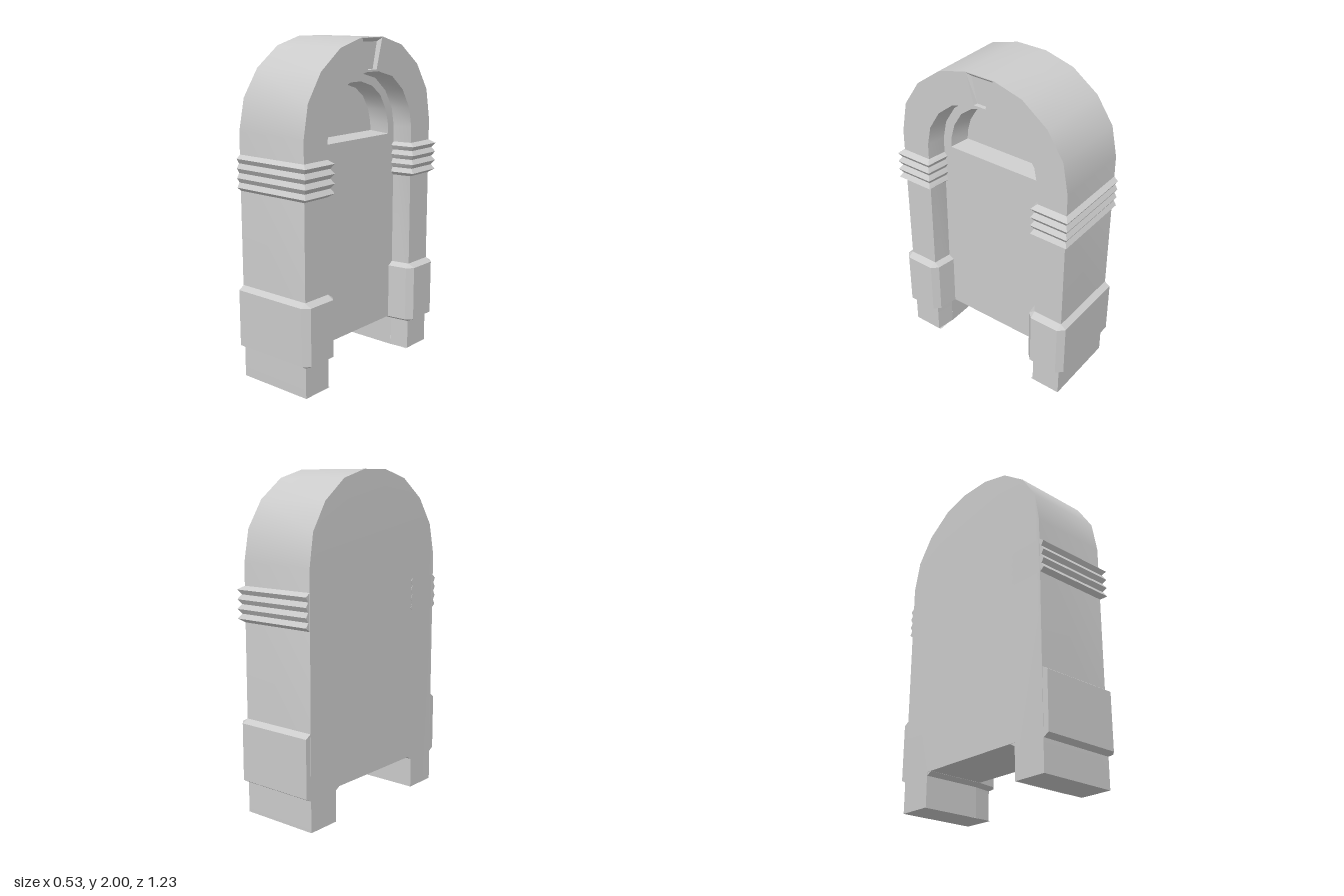
import * as THREE from 'three';
import { toCreasedNormals } from 'three/addons/utils/BufferGeometryUtils.js';

const BACK = -0.27, FLOOR = -0.01, PANEL = 0.105, FRONT = 0.224, SKIRT = 0.207;
const material = new THREE.MeshStandardMaterial({ color: 0xcccccc, side: THREE.DoubleSide });

// Right half of a path mirrored into a full path, right to left
const mirrored = (half) => [...half, ...half.map(([x, y]) => [-x, y]).reverse()];
const at = (path, z) => path.map(([x, y]) => [x, y, typeof z === 'function' ? z(y) : z]);
const backZ = (y) => BACK + Math.max(0, y - 1.48) * 0.03;

// Skin between loops of equal length
function loft(loops, closed, crease) {
  const pos = [];
  const n = loops[0].length;
  for (let i = 0; i < loops.length - 1; i++) {
    for (let j = 0; j < (closed ? n : n - 1); j++) {
      const k = (j + 1) % n;
      const a = loops[i][j], b = loops[i][k], c = loops[i + 1][k], d = loops[i + 1][j];
      pos.push(...a, ...b, ...c, ...a, ...c, ...d);
    }
  }
  const g = new THREE.BufferGeometry();
  g.setAttribute('position', new THREE.Float32BufferAttribute(pos, 3));
  g.computeVertexNormals();
  return crease ? toCreasedNormals(g, crease) : g;
}

// Flat face with optional holes, looking to +z
function face(path, z, holes = []) {
  const toV = (p) => p.map(([x, y]) => new THREE.Vector2(x, y));
  const shape = new THREE.Shape(toV(path));
  holes.forEach((h) => shape.holes.push(new THREE.Path(toV(h))));
  return new THREE.ShapeGeometry(shape).translate(0, 0, z);
}

export function createModel() {
  const model = new THREE.Group();
  const cabinet = new THREE.Group();
  cabinet.name = 'cabinet';
  cabinet.rotation.y = Math.PI / 2; // the cabinet looks along +x
  model.add(cabinet);

  const add = (name, geometry) => {
    const mesh = new THREE.Mesh(geometry, material);
    mesh.name = name;
    cabinet.add(mesh);
    return mesh;
  };

  // Arch outlines
  const outer = mirrored([[0.581, 0], [0.581, 1.48], [0.545, 1.67], [0.44, 1.83], [0.278, 1.95], [0.097, 2]]);
  const inner = mirrored([[0.39, 0], [0.39, 1.45], [0.365, 1.57], [0.295, 1.685], [0.19, 1.77], [0.055, 1.806]]);
  const innerDeep = inner.map(([x, y]) => [x * 0.95, y > 1 ? 1.42 + (y - 1.42) * 0.955 : y]);
  const notch = [[0.37, 0], [0.37, SKIRT], [-0.37, SKIRT], [-0.37, 0]];

  // Cabinet shell
  add('outerShell', loft([at(outer, backZ), at(outer, FRONT)], false, 0.6));
  const back = face([...outer, ...[...notch].reverse()], 0).rotateY(Math.PI);
  const bp = back.attributes.position;
  for (let i = 0; i < bp.count; i++) bp.setZ(i, backZ(bp.getY(i)));
  back.computeVertexNormals();
  add('backPanel', back);
  add('undersideNotch', loft([at(notch, PANEL), at(notch, BACK)], false, 0.6));

  // Front arch frame with a shallow sunken keystone
  const keyRim = [[0.04, 1.818], [0.09, 1.996], [-0.09, 1.996], [-0.04, 1.818]];
  const keyFloor = [[0.033, 1.82], [0.07, 1.975], [-0.07, 1.975], [-0.033, 1.82]];
  const keyZ = FRONT - 0.024;
  add('archFrame', face([...outer, ...[...inner].reverse()], FRONT, [keyRim]));
  add('archReveal', loft([at(inner, FRONT), at(innerDeep, PANEL)], false, 0.6));
  add('keystoneSides', loft([at(keyRim, FRONT), at(keyFloor, keyZ)], true));
  add('keystone', face(keyFloor, keyZ));

  // Front panel with a half-round window recess
  const windowRim = mirrored([[0.315, 1.405], [0.31, 1.47], [0.285, 1.56], [0.23, 1.65], [0.15, 1.71], [0.045, 1.742]]);
  const windowFloor = windowRim.map(([x, y]) => [x * 0.9, 1.42 + (y - 1.405) * 0.89]);
  const panel = innerDeep.map(([x, y]) => [x, Math.max(y, SKIRT)]);
  add('frontPanel', face(panel, PANEL, [windowRim]));
  add('windowReveal', loft([at(windowRim, PANEL), at(windowFloor, FLOOR)], true, 0.6));
  add('windowBack', face(windowFloor, FLOOR));

  // Trim wrapped around a pillar: levels of [y, outer x, inner x, front z, corner cut].
  // Its inner side widens towards the panel like the arch reveal.
  const end = BACK + 0.002;
  const wrap = (levels, side) => loft(levels.map(([y, xo, xi, zf, c = 0]) => {
    const xf = xi + 0.019;
    const loop = [
      [xi, end], [xi, PANEL], [xf, zf - c], [xf + c, zf],
      [xo - c, zf], [xo, zf - c], [xo, end],
    ].map(([x, z]) => [x * side, y, z]);
    return side > 0 ? loop : loop.reverse();
  }), true);

  // Ribbed collar: four ridges
  const collar = [[1.14, 0.581, 0.371, FRONT]];
  for (let i = 0; i < 4; i++) {
    const y = 1.162 + i * 0.0555;
    collar.push([y, 0.609, 0.349, 0.258]);
    if (i < 3) collar.push([y + 0.028, 0.592, 0.364, 0.238]);
  }
  collar.push([1.35, 0.581, 0.371, FRONT]);

  // Bevelled foot block
  const block = [
    [0.185, 0.581, 0.371, FRONT], [0.206, 0.617, 0.337, 0.265, 0.037],
    [0.55, 0.617, 0.337, 0.265, 0.037], [0.573, 0.581, 0.371, FRONT],
  ];

  for (const side of [1, -1]) {
    const name = side > 0 ? 'right' : 'left';
    add(name + 'Collar', wrap(collar, side));
    add(name + 'FootBlock', wrap(block, side));
    const sole = add(name + 'Sole', new THREE.PlaneGeometry(0.205, FRONT - BACK).rotateX(Math.PI / 2));
    sole.position.set(side * 0.4785, 0, (FRONT + BACK) / 2);
  }
  return model;
}
